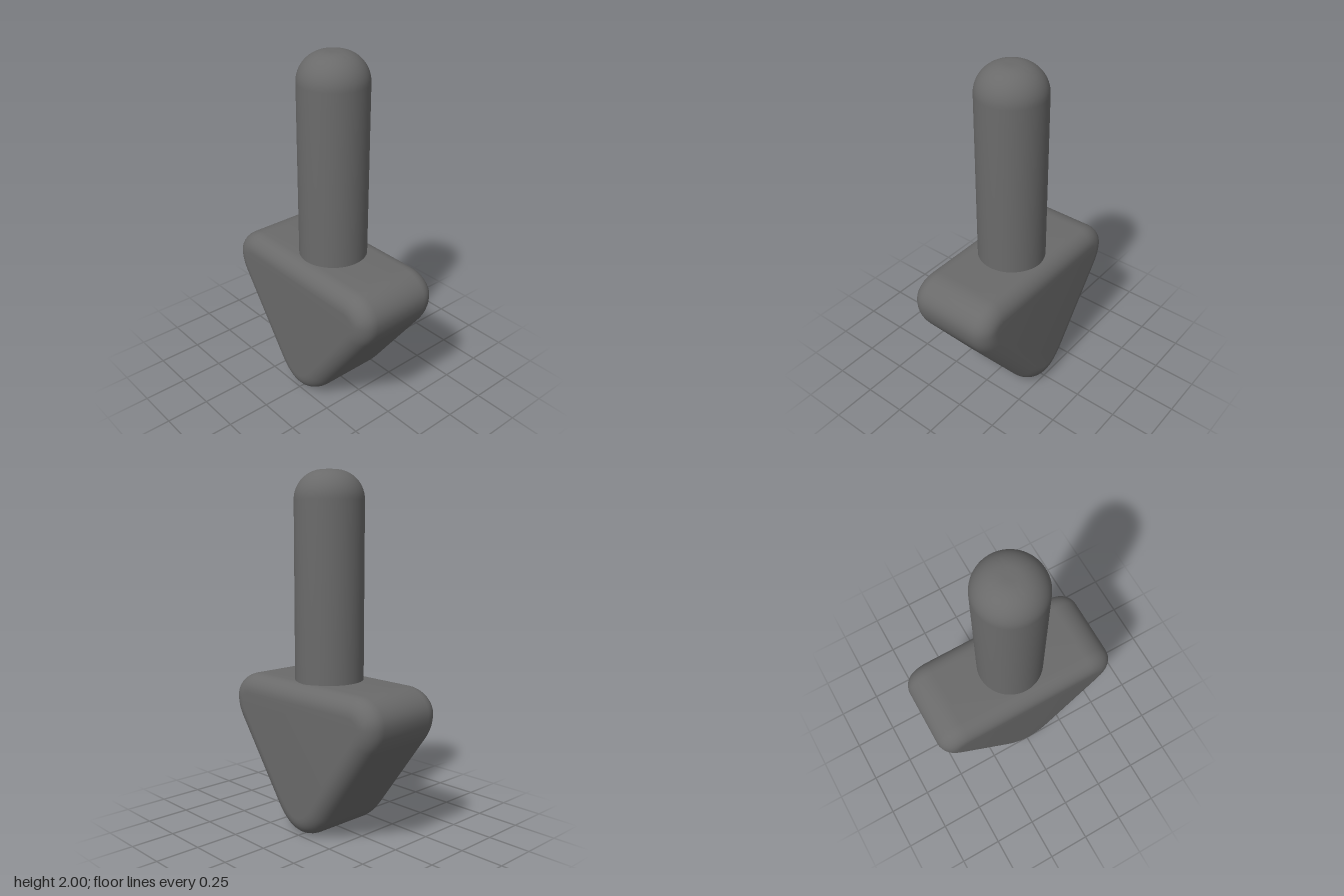
import * as THREE from 'three';
import { toCreasedNormals } from 'three/addons/utils/BufferGeometryUtils.js';

export function createModel() {
  const group = new THREE.Group();
  const material = new THREE.MeshStandardMaterial({ color: 0x6a6a6a });

  // Wedge head: rounded triangle pointing down, with softened edges
  const bevel = 0.1, thickness = 0.54;
  const outline = new THREE.Shape();
  outline.moveTo(0, 0);
  outline.quadraticCurveTo(0.108, 0, 0.2, 0.128);
  outline.lineTo(0.516, 0.566);
  outline.quadraticCurveTo(0.568, 0.636, 0.568, 0.715);
  outline.bezierCurveTo(0.568, 0.792, 0.492, 0.855, 0.4, 0.855);
  outline.lineTo(-0.4, 0.855);
  outline.bezierCurveTo(-0.492, 0.855, -0.568, 0.792, -0.568, 0.715);
  outline.quadraticCurveTo(-0.568, 0.636, -0.516, 0.566);
  outline.lineTo(-0.2, 0.128);
  outline.quadraticCurveTo(-0.108, 0, 0, 0);

  const headGeometry = new THREE.ExtrudeGeometry(outline, {
    depth: thickness - 2 * bevel,
    curveSegments: 12,
    bevelThickness: bevel,
    bevelSize: bevel,
    bevelOffset: -bevel,
    bevelSegments: 8,
  });
  headGeometry.translate(0, 0, bevel - thickness / 2);
  const head = new THREE.Mesh(toCreasedNormals(headGeometry, 0.7), material);
  head.name = 'wedgeHead';
  group.add(head);

  // Round handle with a domed top, sunk into the head
  const radius = 0.192, round = 0.16, top = 2;
  const profile = [new THREE.Vector2(0, 0.7), new THREE.Vector2(radius, 0.7)];
  for (let i = 0; i <= 14; i++) {
    const a = (i / 14) * Math.PI / 2;
    profile.push(new THREE.Vector2(
      radius - round + round * Math.cos(a),
      top - round + round * Math.sin(a)));
  }
  profile.push(new THREE.Vector2(0, top));
  const handleGeometry = toCreasedNormals(new THREE.LatheGeometry(profile, 64), 0.7);
  const handle = new THREE.Mesh(handleGeometry, material);
  handle.name = 'handle';
  handle.position.set(0.01, 0, -0.004);
  group.add(handle);

  return group;
}
